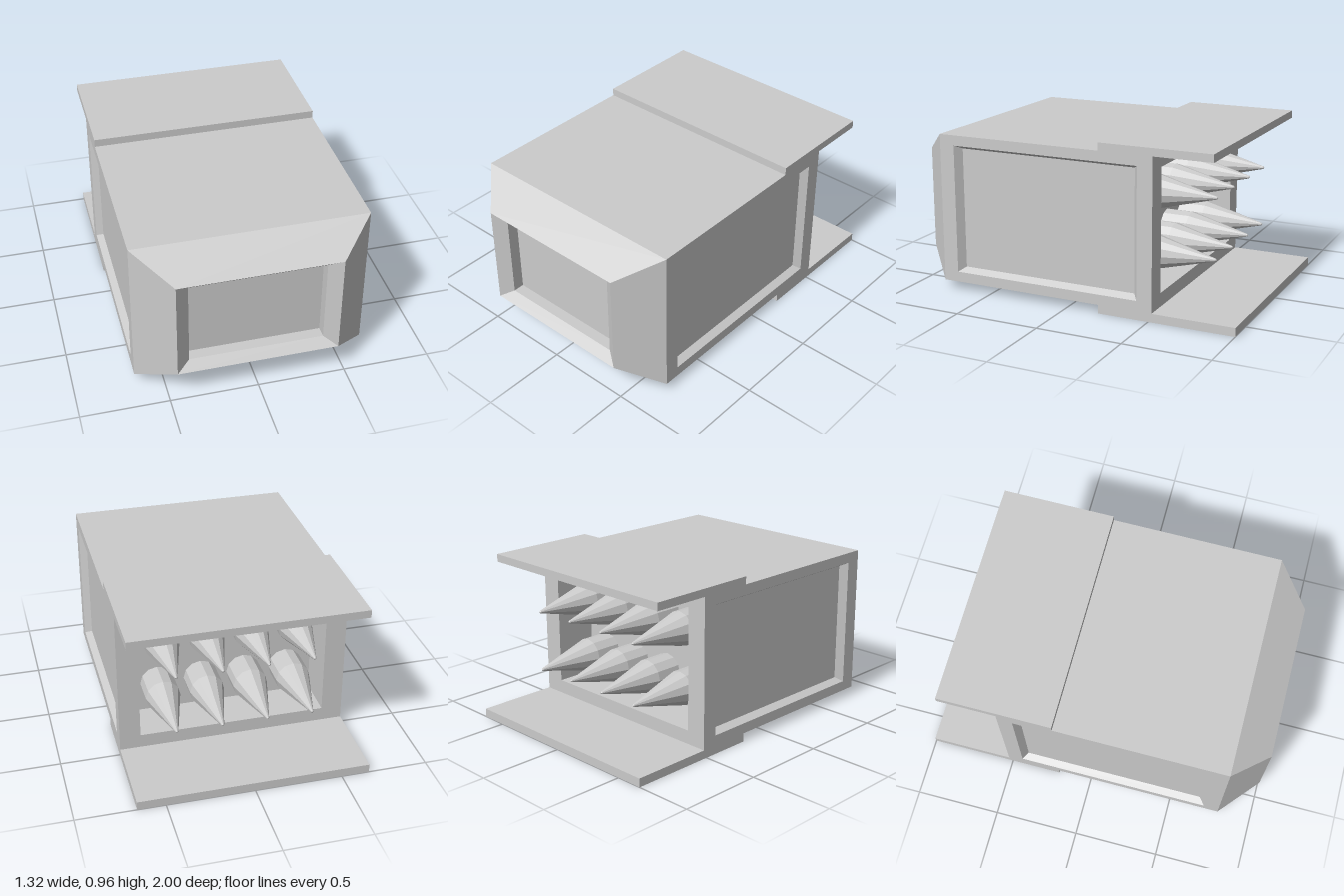
import * as THREE from 'three';

const material = new THREE.MeshStandardMaterial({ color: 0xcccccc, flatShading: true });

// Skin between rectangular rings [x0, x1, y0, y1, z]; the last ring is always closed.
// openSides: index of the section whose two x-facing sides are left out.
function rectLoft(rings, { capStart = false, openSides = -1 } = {}) {
  const corners = rings.map(([x0, x1, y0, y1, z]) => [[x0, y0, z], [x1, y0, z], [x1, y1, z], [x0, y1, z]]);
  const pos = [];
  const quad = (a, b, c, d) => pos.push(...a, ...b, ...c, ...a, ...c, ...d);
  for (let i = 0; i < corners.length - 1; i++) {
    for (let k = 0; k < 4; k++) {
      if (i === openSides && k % 2 === 1) continue;
      const n = (k + 1) % 4;
      quad(corners[i][k], corners[i][n], corners[i + 1][n], corners[i + 1][k]);
    }
  }
  quad(...corners[corners.length - 1]);
  if (capStart) quad(...corners[0].slice().reverse());
  const geo = new THREE.BufferGeometry();
  geo.setAttribute('position', new THREE.Float32BufferAttribute(pos, 3));
  geo.computeVertexNormals();
  return geo;
}

function addMesh(parent, name, geo, x = 0, y = 0, z = 0) {
  const mesh = new THREE.Mesh(geo, material);
  mesh.name = name;
  mesh.position.set(x, y, z);
  parent.add(mesh);
  return mesh;
}

export function createModel() {
  const model = new THREE.Group();
  model.name = 'rocketPod';

  // Housing: rear bay, outer shell, tapered nose and recessed front window
  const W = 0.66, BACK = -0.52, FRONT = 0.8, Y0 = 0.05, Y1 = 0.92;
  addMesh(model, 'housing', rectLoft([
    [-0.54, 0.54, 0.13, 0.84, -0.27],
    [-0.54, 0.54, 0.13, 0.84, BACK],
    [-W, W, Y0, Y1, BACK],
    [-W, W, Y0, Y1, FRONT],
    [-0.455, 0.455, 0.185, 0.78, 1.0],
    [-0.38, 0.38, 0.235, 0.735, 0.95],
    [-0.38, 0.38, 0.235, 0.735, 0.885],
  ], { capStart: true, openSides: 2 }));

  // Side walls with a sunken panel, one per side
  for (const s of [1, -1]) {
    const span = (zBack, zFront) => (s > 0 ? [-zFront, -zBack] : [zBack, zFront]);
    const wall = addMesh(model, s > 0 ? 'leftSidePanel' : 'rightSidePanel', rectLoft([
      [...span(BACK, FRONT), Y0, Y1, 0],
      [...span(-0.43, 0.71), 0.11, 0.86, 0],
      [...span(-0.40, 0.675), 0.135, 0.84, -0.04],
    ]), s * W);
    wall.rotation.y = s * Math.PI / 2;
  }

  // Overhanging plates above and below the rear bay
  addMesh(model, 'topPlate', new THREE.BoxGeometry(2 * W, 0.045, 0.66), 0, 0.9425, -0.53);
  addMesh(model, 'bottomPlate', new THREE.BoxGeometry(2 * W, 0.05, 0.8), 0, 0.025, -0.6);

  // Rockets: two rows of four, pointing backward
  const profile = [[0.1, -0.27], [0.1, -0.43], [0.008, -0.78], [0, -0.787]]
    .map(([r, z]) => new THREE.Vector2(r, -z));
  const rocketGeo = new THREE.LatheGeometry(profile, 12);
  rocketGeo.rotateX(-Math.PI / 2);
  const rockets = new THREE.Group();
  rockets.name = 'rockets';
  model.add(rockets);
  for (const y of [0.31, 0.66]) {
    for (let i = 0; i < 4; i++) addMesh(rockets, 'rocket', rocketGeo, (i - 1.5) * 0.257, y, 0);
  }

  return model;
}
